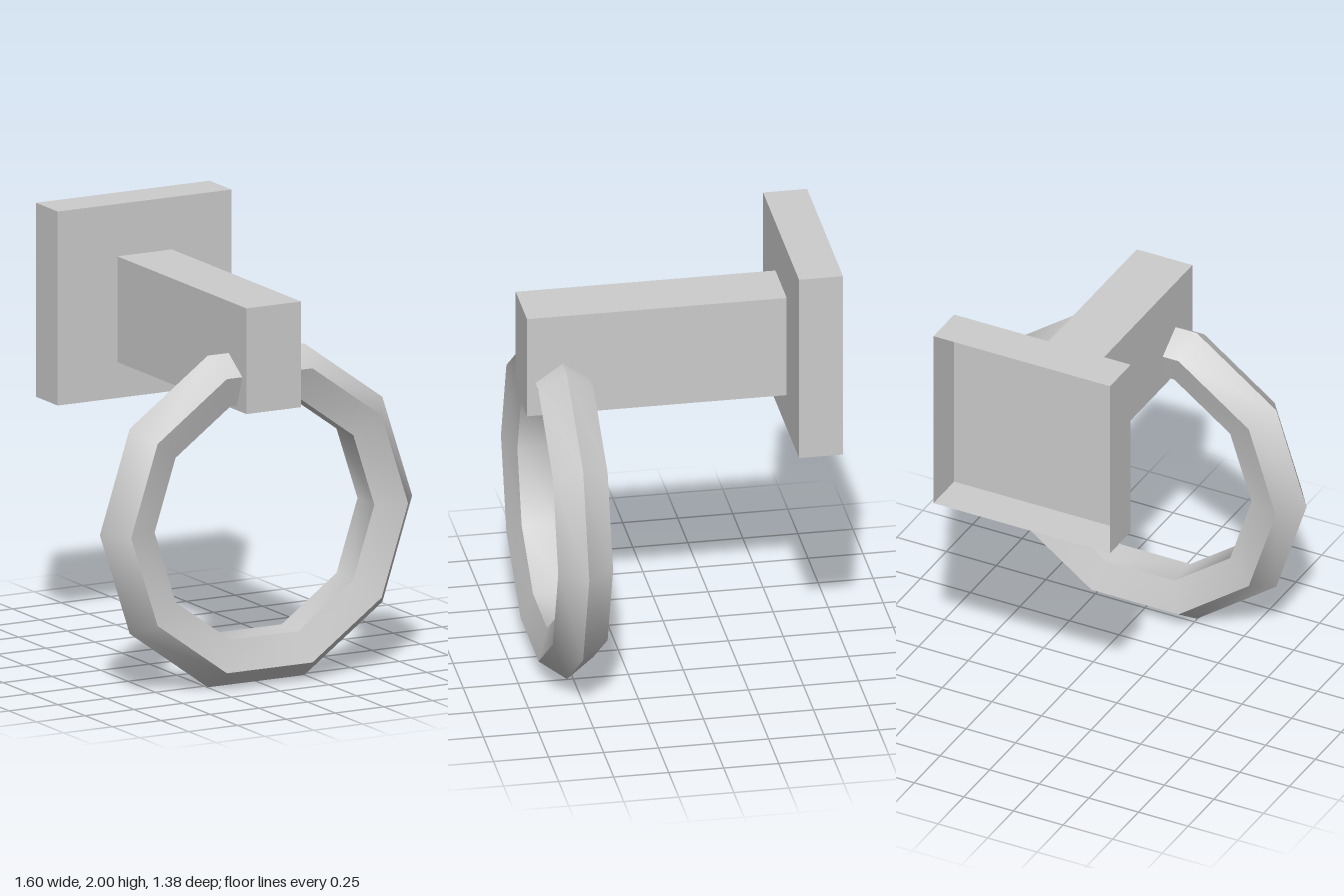
import * as THREE from 'three';
import { toCreasedNormals } from 'three/addons/utils/BufferGeometryUtils.js';

// Box between two corners, left open at the back (-z)
function openBox(x, y0, y1, z0, z1) {
  const geo = new THREE.BoxGeometry(2 * x, y1 - y0, z1 - z0);
  geo.setIndex(Array.from(geo.index.array).slice(0, 30)); // the last six indices are the back face
  geo.clearGroups();
  return geo.translate(0, (y0 + y1) / 2, (z0 + z1) / 2);
}

export function createModel() {
  const group = new THREE.Group();
  const metal = new THREE.MeshStandardMaterial({ color: 0xcccccc, side: THREE.DoubleSide });
  metal.name = 'greyMetal';

  const add = (name, geo) => {
    const mesh = new THREE.Mesh(geo, metal);
    mesh.name = name;
    group.add(mesh);
  };

  // Hollow wall plate and the arm standing out from it
  add('wallPlate', openBox(0.445, 1.11, 2, -0.69, -0.49));
  add('arm', openBox(0.14, 1.275, 1.76, -0.49, 0.69));

  // Ten-sided ring with a pentagonal section, hanging through the arm
  const ring = new THREE.TorusGeometry(0.669, 0.131, 5, 10);
  add('ring', toCreasedNormals(ring, 0.8).translate(0, 0.762, 0.528));

  return group;
}
